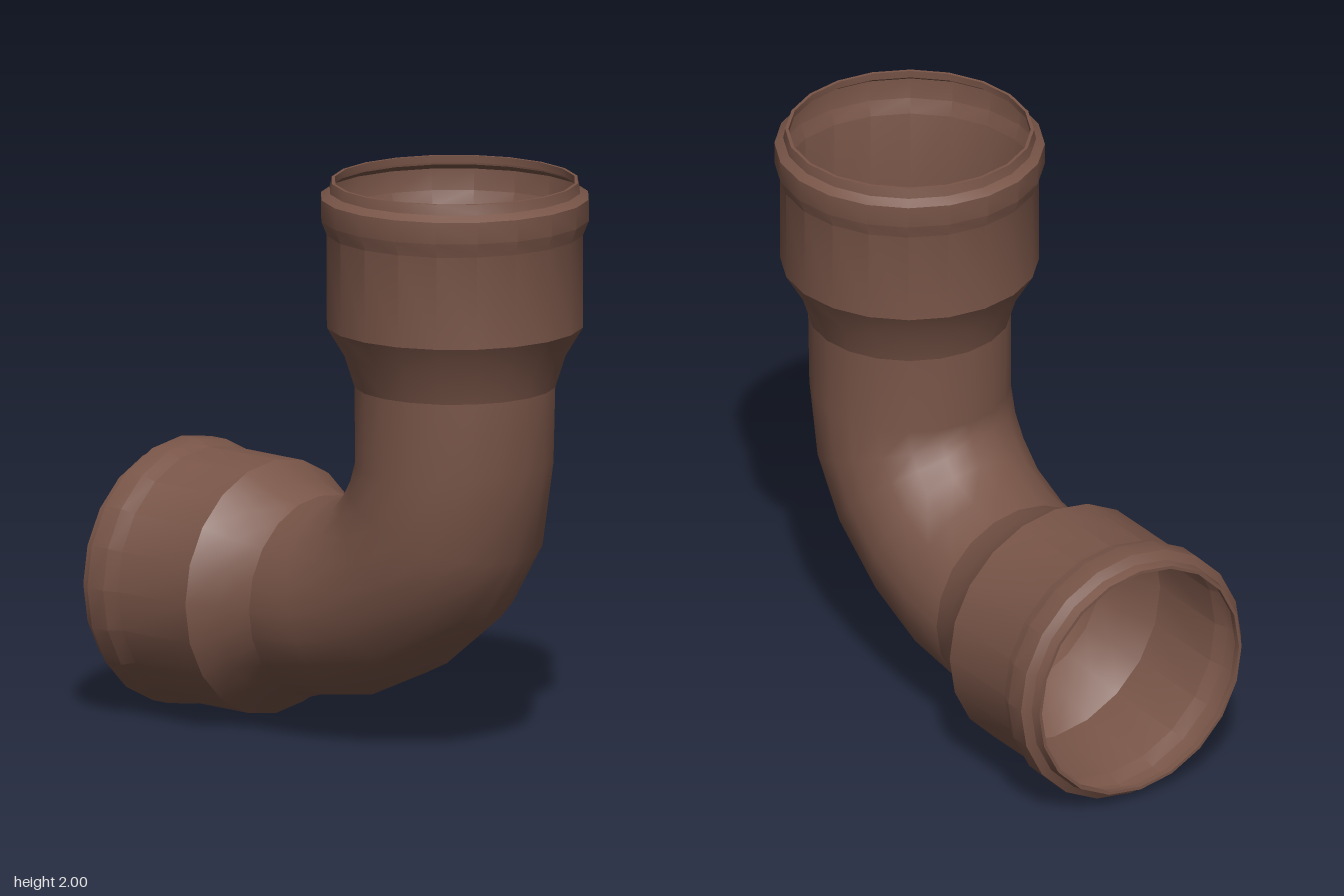
import * as THREE from 'three';
import { toCreasedNormals } from 'three/addons/utils/BufferGeometryUtils.js';

const SIDES = 20;
const RADIUS = 0.345;

// Flared socket with a gasket bead and a thin inner lip, rising along +y
function socketGeometry() {
  const profile = [
    [RADIUS, 0], [0.38, 0.11], [0.44, 0.21], [0.44, 0.53], [0.46, 0.58],
    [0.46, 0.655], [0.43, 0.675], [0.423, 0.71], [0.412, 0.71], [0.414, 0.685],
  ].map(([r, y]) => new THREE.Vector2(r, y));
  return toCreasedNormals(new THREE.LatheGeometry(profile, SIDES), 0.43);
}

// Elbow lofted through rings, each set by its outer and inner point: [z, y, z, y]
function elbowGeometry() {
  const rings = [
    [0.79, 1.29, 0.10, 1.29],
    [0.78, 1.03, 0.105, 1.01],
    [0.725, 0.71, 0.085, 0.965],
    [0.57, 0.47, 0.065, 0.93],
    [0.31, 0.27, 0.03, 0.88],
    [0.05, 0.155, -0.08, 0.83],
    [-0.195, 0.12, -0.195, 0.81],
  ];
  const positions = [];
  const index = [];
  rings.forEach(([oz, oy, iz, iy], i) => {
    for (let j = 0; j < SIDES; j++) {
      const t = (j / SIDES) * Math.PI * 2;
      const c = Math.cos(t) / 2;
      positions.push(
        Math.sin(t) * RADIUS,
        (oy + iy) / 2 + (oy - iy) * c,
        (oz + iz) / 2 + (oz - iz) * c,
      );
      if (i === rings.length - 1) continue;
      const a = i * SIDES + j;
      const b = i * SIDES + ((j + 1) % SIDES);
      index.push(a, a + SIDES, b, b, a + SIDES, b + SIDES);
    }
  });
  const geometry = new THREE.BufferGeometry();
  geometry.setAttribute('position', new THREE.Float32BufferAttribute(positions, 3));
  geometry.setIndex(index);
  geometry.computeVertexNormals();
  return geometry;
}

export function createModel() {
  const group = new THREE.Group();
  group.name = 'pipeElbow';
  const material = new THREE.MeshStandardMaterial({ color: 0x795548, side: THREE.DoubleSide });

  const add = (name, geometry) => {
    const mesh = new THREE.Mesh(geometry, material);
    mesh.name = name;
    group.add(mesh);
    return mesh;
  };

  add('elbow', elbowGeometry());

  // One socket opens upward, the other to the back
  const socket = socketGeometry();
  add('topSocket', socket).position.set(0, 1.29, 0.445);
  const back = add('backSocket', socket);
  back.position.set(0, 0.465, -0.195);
  back.rotation.x = -Math.PI / 2;

  return group;
}
